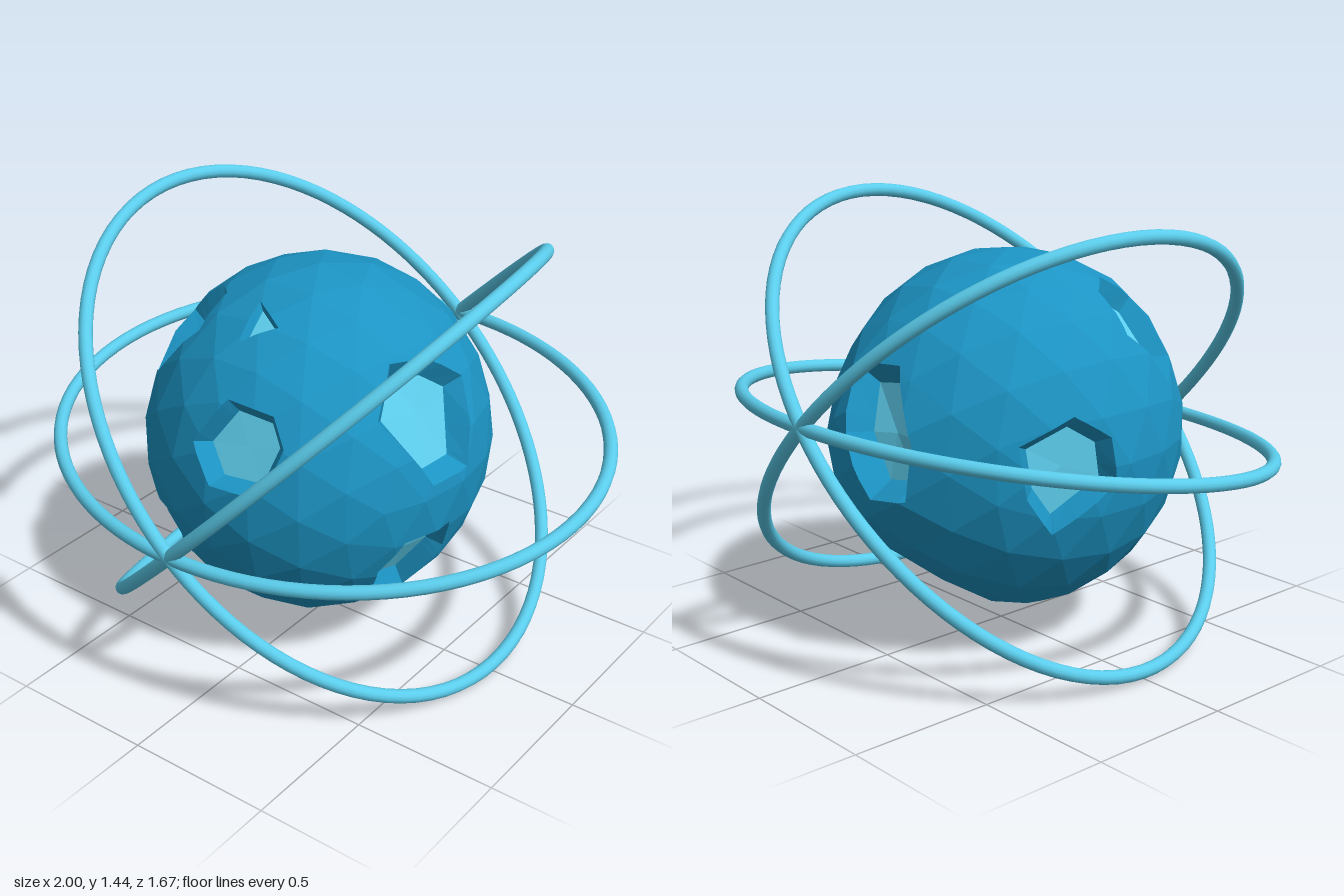
import * as THREE from 'three';

// Planet centre and half-sizes
const C = new THREE.Vector3(-0.025, 0.695, 0.01);
const S = new THREE.Vector3(0.577, 0.608, 0.602);

// Gentle swellings and dents of the ground: direction, height, reach in radians
const bumps = [
  { dir: new THREE.Vector3(0.08, 0, -1).normalize(), height: 0.035, reach: 0.6 },
  { dir: new THREE.Vector3(0.05, -0.82, -0.57).normalize(), height: -0.045, reach: 0.45 },
];

// Crater outlines: corners given in one plane and lifted onto the planet.
// front/back use (x, y), plusX/minusX use (z, y), top uses (x, z).
const sides = {
  front: ['x', 'y', 'z', 1],
  back: ['x', 'y', 'z', -1],
  plusX: ['z', 'y', 'x', 1],
  minusX: ['z', 'y', 'x', -1],
  top: ['x', 'z', 'y', 1],
};
const craters = [
  { side: 'front', pts: [[0, 1.03], [0.16, 1.01], [0.215, 0.92], [0.17, 0.76], [-0.01, 0.76], [-0.095, 0.88]] },
  { side: 'front', pts: [[-0.4, 0.545], [-0.26, 0.555], [-0.2, 0.475], [-0.215, 0.33], [-0.38, 0.375], [-0.435, 0.42]] },
  { side: 'top', pts: [[-0.465, 0.13], [-0.34, 0.12], [-0.25, 0.21], [-0.257, 0.35], [-0.41, 0.38], [-0.5, 0.29]] },
  { side: 'top', depth: 0.06, pts: [[-0.08, 0.25], [0.045, 0.315], [-0.055, 0.39]] },
  { side: 'plusX', pts: [[0.16, 1.12], [0.01, 1.09], [-0.11, 1.0], [-0.02, 0.735], [0.15, 0.735], [0.285, 0.985]] },
  { side: 'plusX', pts: [[0.24, 0.55], [0.045, 0.55], [0.02, 0.43], [0.07, 0.255], [0.235, 0.29], [0.29, 0.435]] },
  { side: 'plusX', pts: [[-0.285, 0.49], [-0.27, 0.6], [-0.355, 0.71], [-0.465, 0.69], [-0.49, 0.55], [-0.4, 0.44]] },
  { side: 'minusX', pts: [[-0.18, 0.87], [-0.06, 0.79], [-0.04, 0.64], [-0.24, 0.49], [-0.33, 0.62], [-0.35, 0.79]] },
  { side: 'back', pts: [[0.09, 0.97], [-0.1, 1.0], [-0.22, 0.78], [-0.2, 0.6], [-0.06, 0.58], [0.05, 0.77]] },
];

// Corners, cutting planes and floor corners of one crater
function prepare({ side, pts, depth = 0.1 }) {
  const [u, v, w, sign] = sides[side];
  let corners = pts.map(([a, b]) => {
    const p = new THREE.Vector3();
    p[u] = a - C[u];
    p[v] = b - C[v];
    p[w] = sign * S[w] * Math.sqrt(Math.max(0, 1 - (p[u] / S[u]) ** 2 - (p[v] / S[v]) ** 2));
    return p;
  });
  const mid = corners.reduce((s, c) => s.add(c), new THREE.Vector3()).divideScalar(corners.length);
  if (corners[0].clone().cross(corners[1]).dot(mid) < 0) corners = corners.reverse();
  const planes = corners.map((c, i) => c.clone().cross(corners[(i + 1) % corners.length]).normalize());
  const floor = corners.map((c) => c.clone().lerp(mid, 0.18).multiplyScalar(1 - depth));
  return { corners, planes, floor, mid: mid.multiplyScalar(1 - depth) };
}

// Split a convex polygon by a plane through the planet's centre
function split(poly, n) {
  const inside = [], outside = [];
  poly.forEach((a, i) => {
    const b = poly[(i + 1) % poly.length];
    const da = a.dot(n), db = b.dot(n);
    if (da >= -1e-9) inside.push(a);
    if (da <= 1e-9) outside.push(a);
    if ((da > 1e-9 && db < -1e-9) || (da < -1e-9 && db > 1e-9)) {
      const p = a.clone().lerp(b, da / (da - db));
      inside.push(p);
      outside.push(p);
    }
  });
  return { inside, outside };
}

function flatMesh(name, polys, material) {
  const pos = [];
  for (const p of polys) {
    for (let i = 1; i < p.length - 1; i++) {
      for (const v of [p[0], p[i], p[i + 1]]) pos.push(v.x, v.y, v.z);
    }
  }
  const geo = new THREE.BufferGeometry();
  geo.setAttribute('position', new THREE.Float32BufferAttribute(pos, 3));
  geo.computeVertexNormals();
  const mesh = new THREE.Mesh(geo, material);
  mesh.name = name;
  return mesh;
}

// Ground point for a unit direction
function ground(dir) {
  let rise = 0;
  for (const { dir: d, height, reach } of bumps) {
    const a = dir.angleTo(d) / reach;
    if (a < 1) rise += height * (1 - a * a * a);
  }
  return dir.clone().multiply(S).addScaledVector(dir, rise);
}

// Faceted planet with the crater openings cut out, their walls and their floors
function buildPlanet(blue, pale) {
  const ico = new THREE.IcosahedronGeometry(1, 3).attributes.position;
  let shell = [];
  for (let i = 0; i < ico.count; i += 3) {
    shell.push([0, 1, 2].map((k) => ground(new THREE.Vector3().fromBufferAttribute(ico, i + k).normalize())));
  }
  const walls = [], floors = [];
  for (const { corners, planes, floor, mid } of craters.map(prepare)) {
    const kept = [], n = corners.length;
    for (const face of shell) {
      let rest = face;
      const cut = [];
      for (const plane of planes) {
        const { inside, outside } = split(rest, plane);
        if (outside.length > 2) cut.push(outside);
        rest = inside;
        if (rest.length < 3) break;
      }
      if (rest.length < 3) {
        kept.push(face);
        continue;
      }
      kept.push(...cut);
      // Walls run from the cut edges down to the floor outline
      rest.forEach((a, j) => {
        const b = rest[(j + 1) % rest.length];
        const i = planes.findIndex((p) => Math.abs(p.dot(a)) < 1e-6 && Math.abs(p.dot(b)) < 1e-6);
        if (i < 0) return;
        const k = (i + 1) % n, whole = corners[i].angleTo(corners[k]);
        const drop = (p) => floor[i].clone().lerp(floor[k], Math.min(1, corners[i].angleTo(p) / whole));
        walls.push([a, b, drop(b), drop(a)]);
      });
    }
    floor.forEach((f, i) => floors.push([mid, f, floor[(i + 1) % n]]));
    shell = kept;
  }
  const planet = new THREE.Group();
  planet.name = 'planet';
  planet.position.copy(C);
  planet.add(
    flatMesh('planetSurface', shell, blue),
    flatMesh('craterWalls', walls, blue),
    flatMesh('craterFloors', floors, pale)
  );
  return planet;
}

// Closed elliptical orbit through its far tip and the axis all orbits share
class Orbit extends THREE.Curve {
  constructor(tip) {
    super();
    this.tip = tip;
    this.axis = new THREE.Vector3(0, -0.115, 0.81);
  }
  getPoint(t, target = new THREE.Vector3()) {
    const a = t * Math.PI * 2;
    return target.copy(this.tip).multiplyScalar(Math.cos(a)).addScaledVector(this.axis, Math.sin(a));
  }
}

export function createModel() {
  const model = new THREE.Group();
  model.name = 'planetWithOrbits';
  const blue = new THREE.MeshStandardMaterial({ color: 0x1c94c4, flatShading: true, side: THREE.DoubleSide });
  const pale = new THREE.MeshStandardMaterial({ color: 0x5fd0f0, flatShading: true, side: THREE.DoubleSide });
  const ringBlue = new THREE.MeshStandardMaterial({ color: 0x5bcdec });
  model.add(buildPlanet(blue, pale));

  // Three orbit rings crossing on one tilted axis
  const tips = {
    levelOrbit: [0.977, 0, 0],
    leftOrbit: [0.69, 0.69, 0.064],
    rightOrbit: [-0.69, 0.69, 0.064],
  };
  for (const [name, tip] of Object.entries(tips)) {
    const path = new Orbit(new THREE.Vector3(...tip));
    const ring = new THREE.Mesh(new THREE.TubeGeometry(path, 96, 0.023, 12, true), ringBlue);
    ring.name = name;
    ring.position.y = 0.722;
    model.add(ring);
  }
  return model;
}
